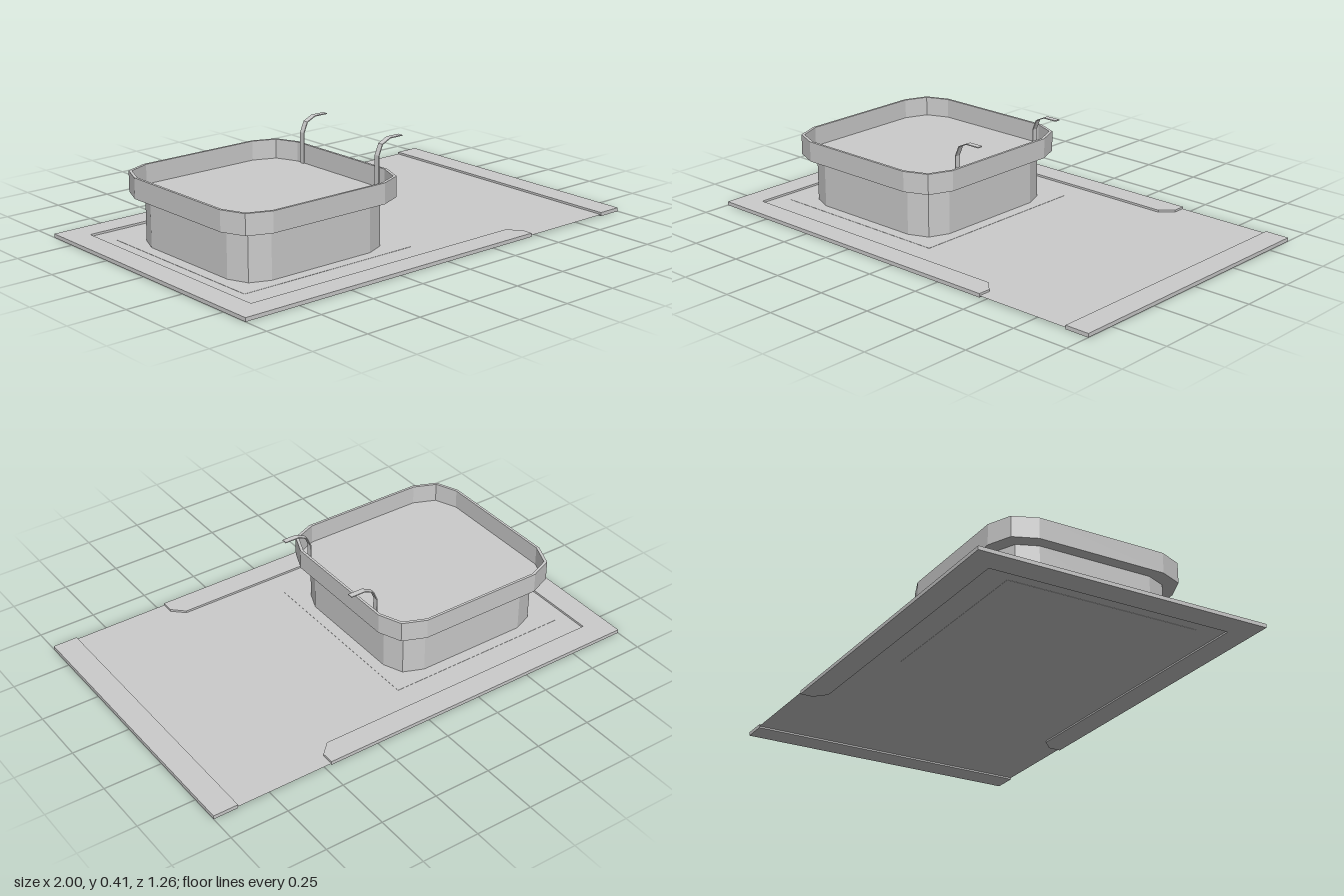
import * as THREE from 'three';

const material = new THREE.MeshStandardMaterial({ color: 0xcccccc, flatShading: true, side: THREE.DoubleSide });

// Deck outline and levels
const HALF_X = 1, HALF_Z = 0.63, DECK_TOP = 0.016, FLOOR = 0.007;
// Tub centre and levels
const TUB_X = -0.422, LEDGE = 0.213, RIM_TOP = 0.3;

function add(group, name, geometry, x = 0, y = 0, z = 0) {
  const mesh = new THREE.Mesh(geometry, material);
  mesh.name = name;
  mesh.position.set(x, y, z);
  group.add(mesh);
  return mesh;
}

// Rectangle with each corner cut into two facets
function facetedRect(halfX, halfZ, radius) {
  const points = [];
  const signs = [[1, 1], [-1, 1], [-1, -1], [1, -1]];
  signs.forEach(([sx, sz], quarter) => {
    for (let i = 0; i <= 2; i++) {
      const a = (quarter + i / 2) * Math.PI / 2;
      points.push(new THREE.Vector2(
        sx * (halfX - radius) + radius * Math.cos(a),
        sz * (halfZ - radius) + radius * Math.sin(a)));
    }
  });
  return points;
}

// Extrude a plan outline straight upwards
function slab(points, height, hole) {
  const shape = new THREE.Shape(points);
  if (hole) shape.holes.push(new THREE.Path(hole));
  const geometry = new THREE.ExtrudeGeometry(shape, { depth: height, bevelEnabled: false });
  return geometry.rotateX(-Math.PI / 2);
}

function createDeck() {
  const deck = new THREE.Group();
  deck.name = 'deck';

  // Thin floor sheet
  add(deck, 'floorSheet', new THREE.PlaneGeometry(2 * HALF_X, 2 * HALF_Z).rotateX(-Math.PI / 2), 0, FLOOR, 0);

  // U-shaped border with chamfered arm tips
  const arm = [[0.47, HALF_Z], [0.47, 0.575], [0.42, 0.527], [-0.895, 0.527]];
  const outline = [
    [-HALF_X, HALF_Z], ...arm,
    ...arm.slice().reverse().map(([x, z]) => [x, -z]),
    [-HALF_X, -HALF_Z],
  ].map(([x, z]) => new THREE.Vector2(x, z));
  add(deck, 'border', slab(outline, DECK_TOP));

  // Strip across the far end
  add(deck, 'endStrip', new THREE.BoxGeometry(0.107, DECK_TOP, 2 * HALF_Z), HALF_X - 0.0535, DECK_TOP / 2, 0);

  // Very thin pad below the tub
  add(deck, 'tubPad', new THREE.BoxGeometry(0.835, 0.002, 0.835), TUB_X, FLOOR, 0);
  return deck;
}

function createTub() {
  const tub = new THREE.Group();
  tub.name = 'tub';
  tub.position.x = TUB_X;

  add(tub, 'body', slab(facetedRect(0.367, 0.367, 0.12), LEDGE - FLOOR), 0, FLOOR, 0);

  const outer = facetedRect(0.418, 0.418, 0.14);
  const inner = facetedRect(0.407, 0.407, 0.135);
  add(tub, 'basinFloor', slab(outer, 0.004), 0, LEDGE, 0);
  add(tub, 'rim', slab(outer, RIM_TOP - LEDGE - 0.004, inner), 0, LEDGE + 0.004, 0);
  return tub;
}

// Flat strip bent over the rim, drawn as a side profile
function hookGeometry(width) {
  const t = 0.004;
  const shape = new THREE.Shape([
    [-0.022, LEDGE + 0.004], [-0.022, 0.35], [-0.003, 0.395], [0.04, 0.415], [0.105, 0.415],
    [0.105, 0.415 - t], [0.041, 0.415 - t], [0, 0.392], [-0.022 + t, 0.349], [-0.022 + t, LEDGE + 0.004],
  ].map(([x, y]) => new THREE.Vector2(x, y)));
  return new THREE.ExtrudeGeometry(shape, { depth: width, bevelEnabled: false }).translate(0, 0, -width / 2);
}

export function createModel() {
  const model = new THREE.Group();
  model.name = 'tubOnDeck';
  model.add(createDeck(), createTub());

  // Pair of hooks on the inner side of the rim
  for (const [name, side] of [['leftHook', 1], ['rightHook', -1]]) {
    add(model, name, hookGeometry(0.024), 0, 0, side * 0.234);
  }
  return model;
}
